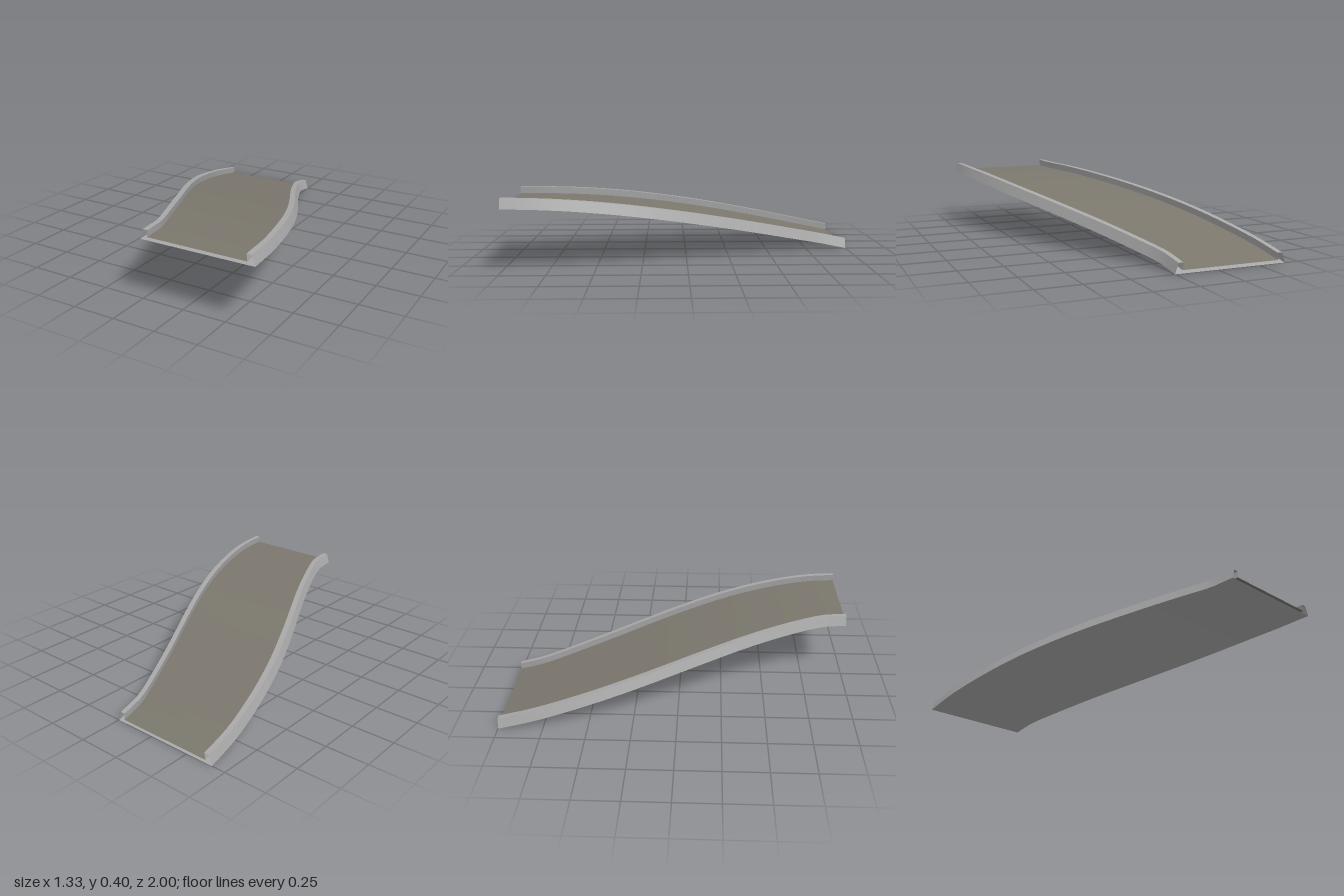
import * as THREE from 'three';

const curbGrey = new THREE.MeshStandardMaterial({ color: 0xa8a8a8, side: THREE.DoubleSide });
curbGrey.name = 'curb grey';
const roadGrey = new THREE.MeshStandardMaterial({ color: 0x7b776d, side: THREE.DoubleSide });
roadGrey.name = 'road grey';

const STEPS = 32;
const WIDTH = 0.667;

// Plan of the +x edge as (z, x); the other edge is its half-turn copy
const edge = new THREE.SplineCurve([
  [-1, 0], [-0.87, 0.014], [-0.8, 0.036], [-0.6, 0.12], [-0.4, 0.21], [-0.2, 0.307], [0, 0.4],
  [0.2, 0.485], [0.4, 0.555], [0.6, 0.61], [0.8, 0.65], [1, 0.667],
].map(([z, x]) => new THREE.Vector2(z, x)));
const edgePoints = edge.getPoints(240);

function rightX(z) {
  let i = 1;
  while (i < edgePoints.length - 1 && edgePoints[i].x < z) i++;
  const a = edgePoints[i - 1], b = edgePoints[i];
  return THREE.MathUtils.mapLinear(z, a.x, b.x, a.y, b.y);
}
const leftX = (z) => -rightX(-z);

// Ramp height: steep at the back, levelling off at the front
function rise(z) {
  const u = (z + 1) / 2;
  return 0.424 * u + 0.166 * u * u - 0.252 * u * u * u;
}

// Sweep one side of the cross-section, from a to b, along the ramp
function strip(a, b) {
  const positions = [], index = [];
  for (let i = 0; i <= STEPS; i++) {
    const z = -1 + (2 * i) / STEPS;
    for (const [across, up] of [a, b]) {
      const x = THREE.MathUtils.lerp(leftX(z), rightX(z), across / WIDTH);
      positions.push(x, rise(z) + up, z);
    }
    if (i < STEPS) {
      const k = 2 * i;
      index.push(k, k + 2, k + 1, k + 1, k + 2, k + 3);
    }
  }
  const geometry = new THREE.BufferGeometry();
  geometry.setAttribute('position', new THREE.Float32BufferAttribute(positions, 3));
  geometry.setIndex(index);
  geometry.computeVertexNormals();
  return geometry;
}

export function createModel() {
  const model = new THREE.Group();
  model.name = 'curvedRamp';

  // Hollow, open-ended cross-section, clockwise seen from the front
  const curb = [[0, 0], [0.018, 0.058], [0.048, 0.058], [0.043, 0.018]];
  const mirrored = curb.map(([x, y]) => [WIDTH - x, y]).reverse();
  const section = [...curb, ...mirrored];
  const names = [
    'rightCurbOuter', 'rightCurbTop', 'rightCurbInner', 'roadSurface',
    'leftCurbInner', 'leftCurbTop', 'leftCurbOuter', 'underside',
  ];

  names.forEach((name, i) => {
    const material = name === 'roadSurface' ? roadGrey : curbGrey;
    const mesh = new THREE.Mesh(strip(section[i], section[(i + 1) % section.length]), material);
    mesh.name = name;
    model.add(mesh);
  });
  return model;
}
